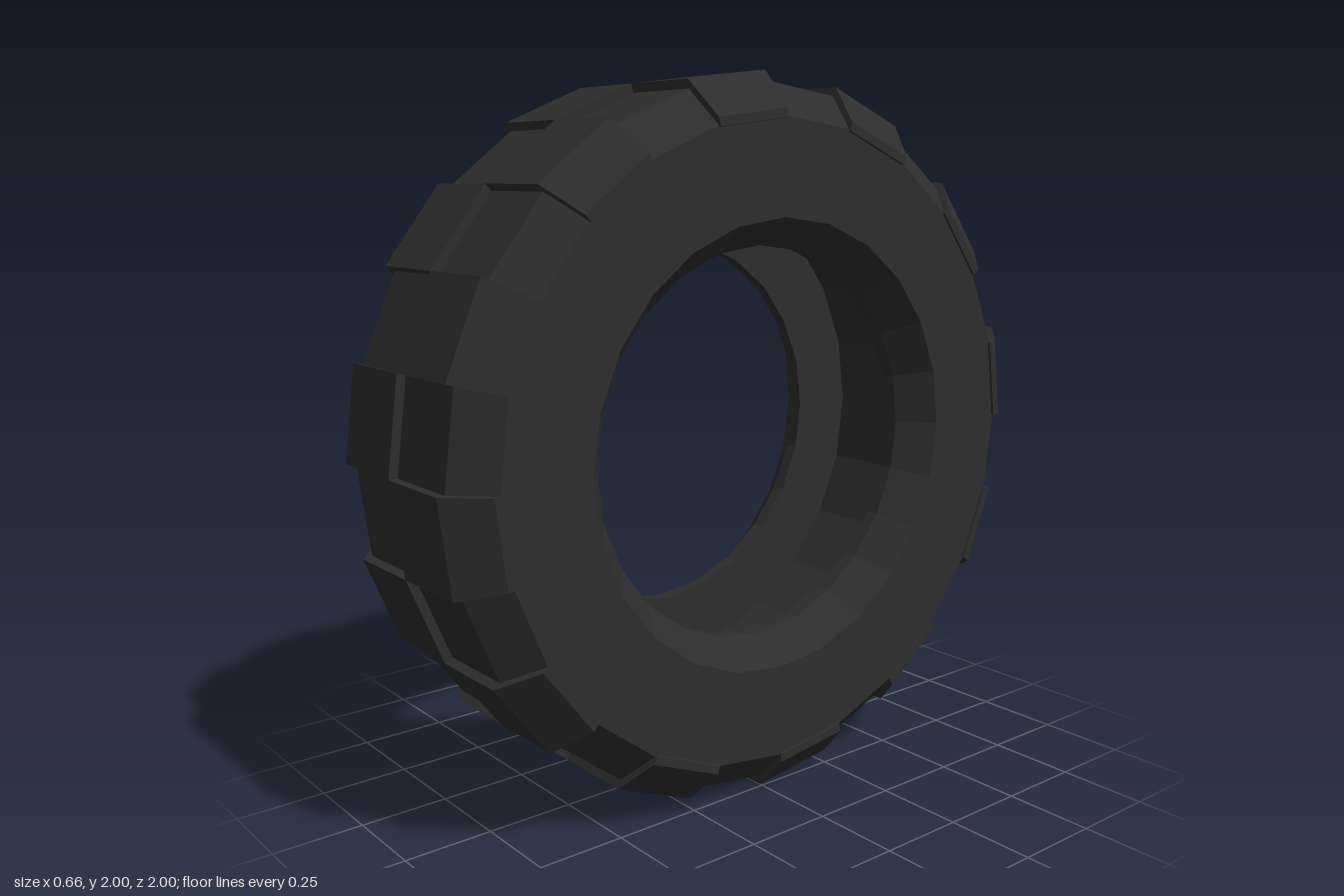
import * as THREE from 'three';

const SEGMENTS = 24;
const STEP = (Math.PI * 2) / SEGMENTS;

// Extrudes an (axial, radial) profile one step around the wheel axis.
function sectorGeometry(profile, startAngle) {
  const shape = new THREE.Shape(profile.map(([x, r]) => new THREE.Vector2(x, r)));
  const geometry = new THREE.ExtrudeGeometry(shape, { depth: 1, steps: 1, bevelEnabled: false });
  const pos = geometry.attributes.position;
  for (let i = 0; i < pos.count; i++) {
    const r = pos.getY(i);
    const a = startAngle + pos.getZ(i) * STEP;
    pos.setXYZ(i, pos.getX(i), r * Math.cos(a), r * Math.sin(a));
  }
  geometry.computeVertexNormals();
  return geometry;
}

export function createModel() {
  const group = new THREE.Group();
  group.name = 'tire';
  const rubber = new THREE.MeshStandardMaterial({ color: 0x2d2d2d, flatShading: true });
  rubber.name = 'black rubber';

  // Carcass: chamfered shoulders, flat sidewalls, bevelled lips and a hollow inside
  const half = [[0.235, 0.975], [0.325, 0.88], [0.325, 0.62], [0.23, 0.545], [0.19, 0.545], [0.19, 0.74]];
  const mirrored = half.map(([x, r]) => [-x, r]).reverse();
  const loop = [...half, ...mirrored, half[0]];
  const points = loop.map(([x, r]) => new THREE.Vector2(r, x));
  const carcass = new THREE.Mesh(new THREE.LatheGeometry(points, SEGMENTS), rubber);
  carcass.geometry.rotateZ(-Math.PI / 2);
  carcass.name = 'carcass';
  carcass.position.y = 1;
  group.add(carcass);

  // Tread blocks: staggered left and right, wrapping over the shoulders
  const blockProfile = [[0, 0.95], [0, 1], [0.24, 1], [0.332, 0.9], [0.332, 0.876], [0.3, 0.87], [0.22, 0.95]];
  const treads = new THREE.Group();
  treads.name = 'treadBlocks';
  treads.position.y = 1;
  for (let i = 0; i < SEGMENTS; i++) {
    const side = i % 2 === 0 ? 1 : -1;
    const profile = blockProfile.map(([x, r]) => [x * side, r]);
    const block = new THREE.Mesh(sectorGeometry(profile, i * STEP), rubber);
    block.name = side > 0 ? 'leftTreadBlock' : 'rightTreadBlock';
    treads.add(block);
  }
  group.add(treads);

  return group;
}
